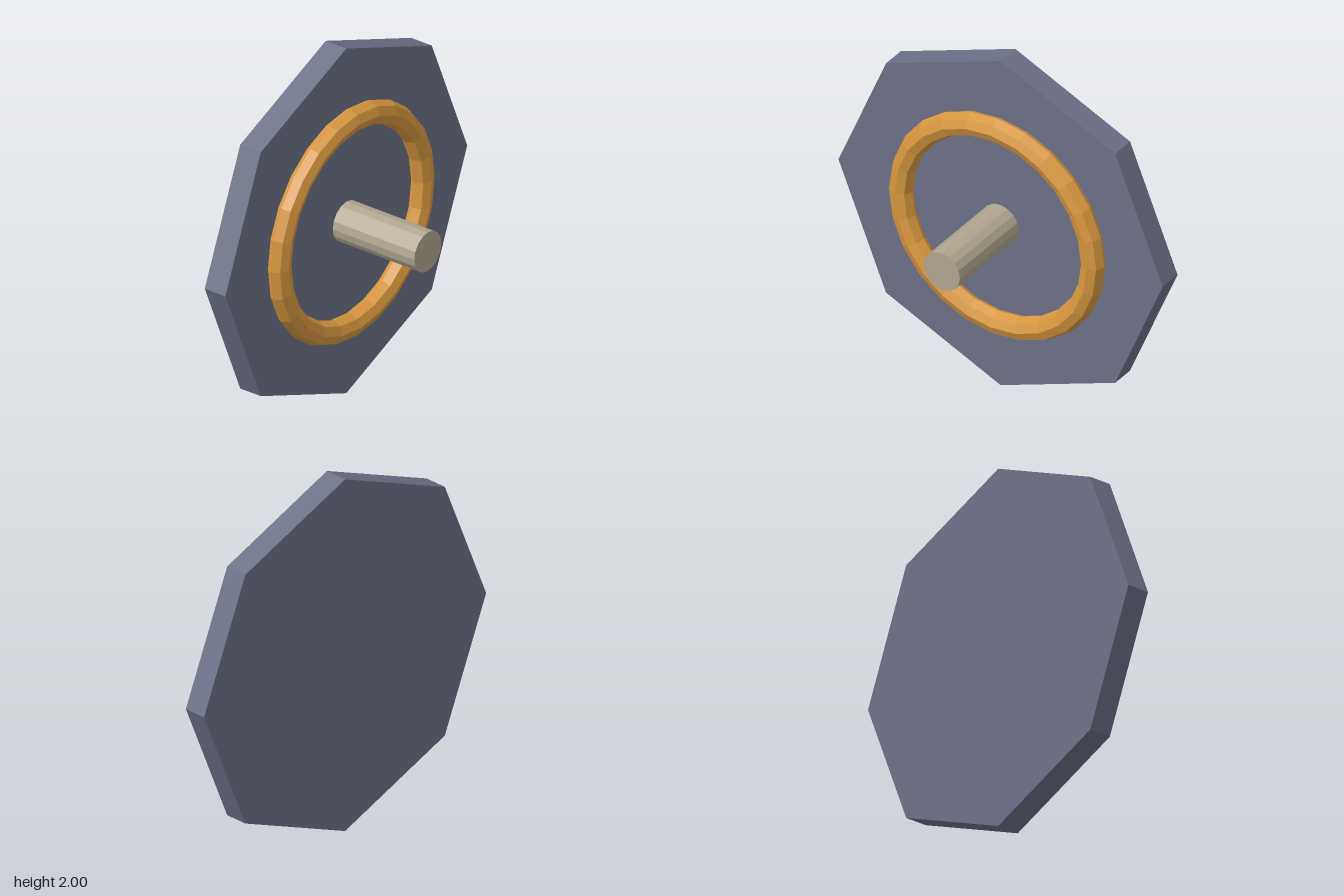
import * as THREE from 'three';

export function createModel() {
  const group = new THREE.Group();

  const add = (name, geometry, color, z) => {
    const material = new THREE.MeshStandardMaterial({ color, flatShading: true });
    const mesh = new THREE.Mesh(geometry, material);
    mesh.name = name;
    mesh.position.set(0, 1, z);
    group.add(mesh);
  };

  // Cylinder lying along z, with a corner pointing straight up
  const disc = (radius, depth, sides) =>
    new THREE.CylinderGeometry(radius, radius, depth, sides).rotateX(Math.PI / 2);

  const front = 0.328, plateDepth = 0.132;
  const plateFront = -front + plateDepth;

  // Octagonal back plate
  add('backPlate', disc(1, plateDepth, 8), 0x6c7086, -front + plateDepth / 2);

  // Raised ring, partly sunk into the plate
  add('ring', new THREE.TorusGeometry(0.592, 0.066, 8, 24), 0xd6963f, -0.171);

  // Central post, from the plate to the front
  add('post', disc(0.112, front - plateFront, 16), 0xb0a690, (front + plateFront) / 2);

  return group;
}
